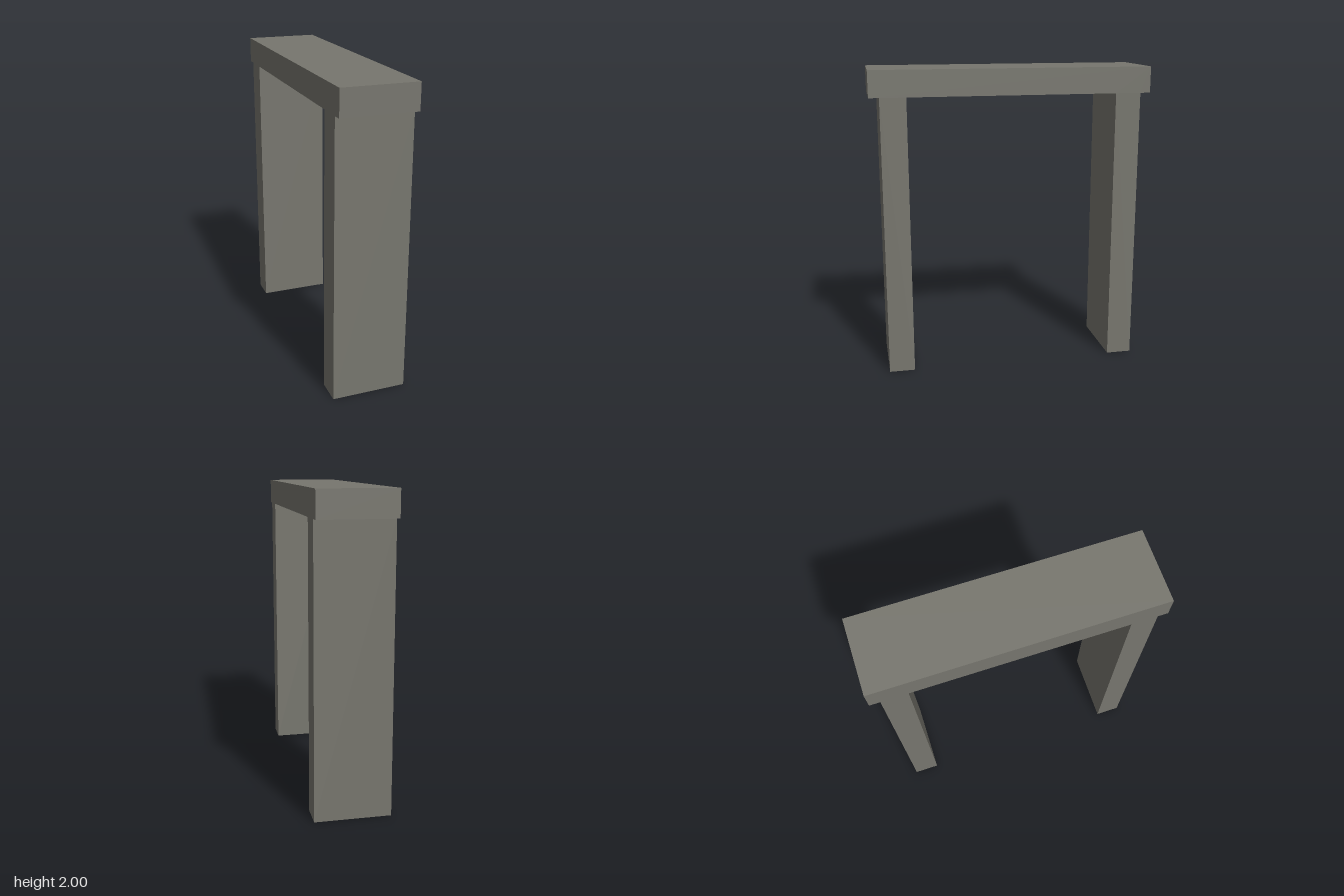
import * as THREE from 'three';

const WIDTH = 0.486;      // thickness along x
const HEIGHT = 2;
const BEAM_BOTTOM = 1.83;
const BEAM_END = 0.913;   // half length of the beam
const POST_OUTER = 0.847;
const POST_INNER = 0.68;

export function createModel() {
  const model = new THREE.Group();
  model.name = 'stoneGateway';

  const stone = new THREE.MeshStandardMaterial({ color: 0x77766e });
  stone.name = 'grey stone';

  // Half of the side outline, mirrored to give two posts under one beam
  const half = [
    [POST_INNER, BEAM_BOTTOM],
    [POST_INNER, 0],
    [POST_OUTER, 0],
    [POST_OUTER, BEAM_BOTTOM],
    [BEAM_END, BEAM_BOTTOM],
    [BEAM_END, HEIGHT],
  ];
  const mirrored = half.map(([z, y]) => [-z, y]).reverse();
  const outline = new THREE.Shape([...half, ...mirrored].map(([z, y]) => new THREE.Vector2(z, y)));

  // Extrude the outline across the width and turn it to run along z
  const geometry = new THREE.ExtrudeGeometry(outline, { depth: WIDTH, bevelEnabled: false });
  geometry.translate(0, 0, -WIDTH / 2);
  geometry.rotateY(Math.PI / 2);

  const frame = new THREE.Mesh(geometry, stone);
  frame.name = 'postsAndLintel';
  model.add(frame);
  return model;
}
